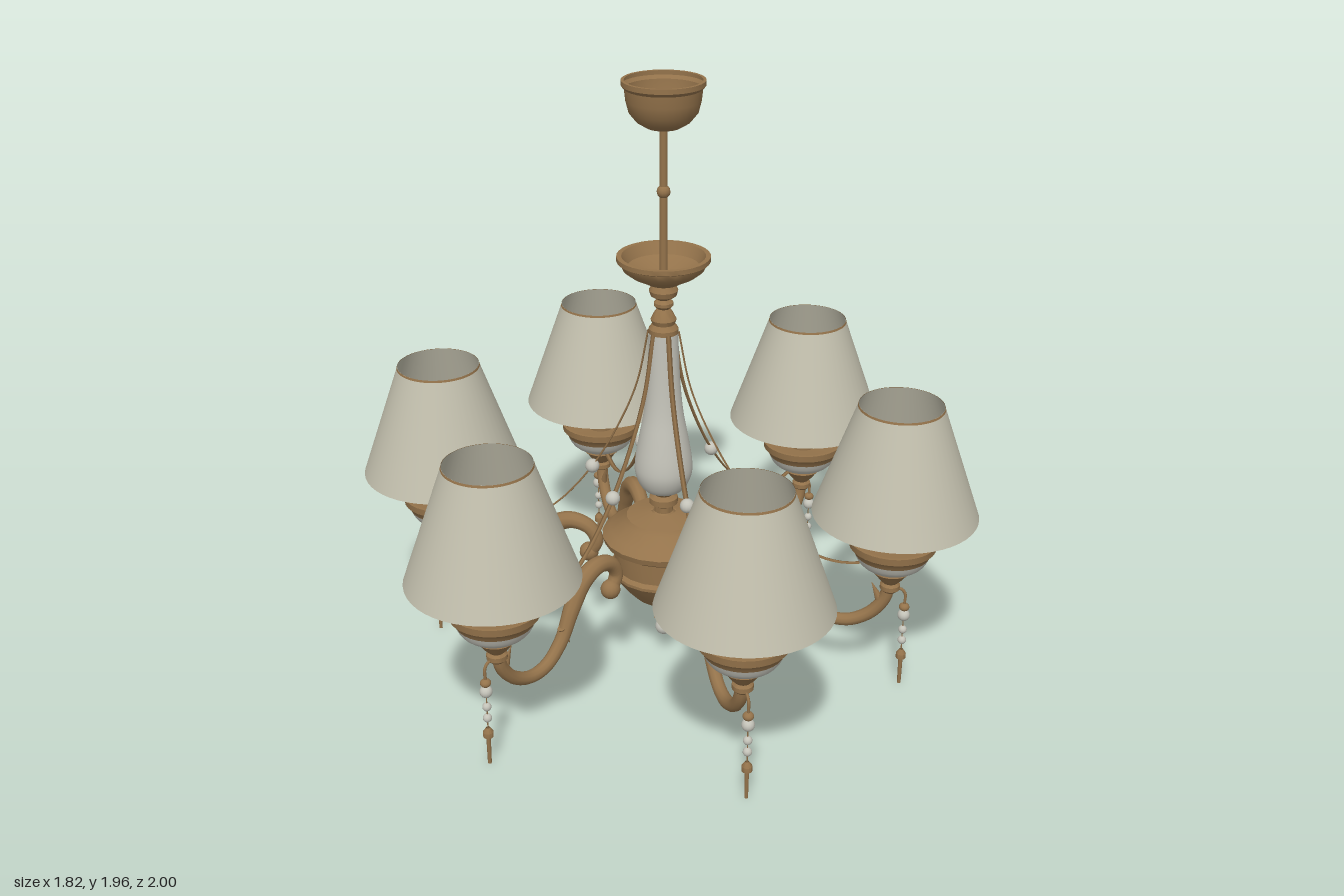
import * as THREE from 'three';
import { toCreasedNormals } from 'three/addons/utils/BufferGeometryUtils.js';

const material = (name, color) =>
  new THREE.MeshStandardMaterial({ name, color, side: THREE.DoubleSide });

export function createModel() {
  const brass = material('antique brass', 0x94734b);
  const fabric = material('shade fabric', 0xc1beac);
  const pearl = material('pale ceramic', 0xc3c2b8);

  const add = (parent, name, geometry, mat, x = 0, y = 0, z = 0) => {
    const mesh = new THREE.Mesh(geometry, mat);
    mesh.name = name;
    mesh.position.set(x, y, z);
    parent.add(mesh);
    return mesh;
  };
  // Profiles are [radius, height] pairs, listed from bottom to top
  const lathe = (profile, sides = 32) => toCreasedNormals(
    new THREE.LatheGeometry(profile.map(([r, y]) => new THREE.Vector2(r, y)), sides), 0.6);
  const smoothLathe = (profile, sides = 32, steps = 30) => {
    const curve = new THREE.SplineCurve(profile.map(([r, y]) => new THREE.Vector2(r, y)));
    return new THREE.LatheGeometry(curve.getPoints(steps), sides);
  };
  const path = (points) =>
    new THREE.CatmullRomCurve3(points.map(([x, y]) => new THREE.Vector3(x, y, 0)));
  // Tube whose radius follows a function of its length
  const taperedTube = (curve, steps, sides, radiusAt) => {
    const geometry = new THREE.TubeGeometry(curve, steps, 1, sides);
    const pos = geometry.attributes.position;
    const v = new THREE.Vector3();
    for (let i = 0; i < pos.count; i++) {
      const t = Math.floor(i / (sides + 1)) / steps;
      const centre = curve.getPointAt(t);
      v.fromBufferAttribute(pos, i).sub(centre).multiplyScalar(radiusAt(t)).add(centre);
      pos.setXYZ(i, v.x, v.y, v.z);
    }
    return geometry;
  };

  const model = new THREE.Group();
  model.name = 'chandelier';

  // Central stem
  const stem = new THREE.Group();
  stem.name = 'centralStem';
  model.add(stem);
  add(stem, 'ceilingCanopy', lathe([[0.012, 1.815], [0.05, 1.82], [0.08, 1.838], [0.102, 1.865],
    [0.111, 1.9], [0.115, 1.935], [0.124, 1.945], [0.124, 1.96], [0.115, 1.96]]), brass);
  add(stem, 'hangingRod', new THREE.CylinderGeometry(0.012, 0.012, 0.5, 12), brass, 0, 1.58);
  add(stem, 'rodKnot', new THREE.SphereGeometry(0.021, 12, 8), brass, 0, 1.625);
  add(stem, 'upperDish', lathe([[0.012, 1.335], [0.05, 1.338], [0.07, 1.35], [0.1, 1.365],
    [0.125, 1.385], [0.133, 1.405], [0.143, 1.41], [0.143, 1.425], [0.128, 1.425], [0.11, 1.39],
    [0.06, 1.365], [0.012, 1.36]]), brass);
  add(stem, 'upperTurning', lathe([[0.046, 1.175], [0.046, 1.19], [0.035, 1.205], [0.04, 1.22],
    [0.03, 1.24], [0.02, 1.255], [0.03, 1.265], [0.03, 1.275], [0.02, 1.285], [0.04, 1.298],
    [0.045, 1.315], [0.035, 1.335]], 24), brass);
  add(stem, 'vase', smoothLathe([[0.04, 0.625], [0.07, 0.645], [0.09, 0.69], [0.091, 0.74],
    [0.078, 0.82], [0.062, 0.91], [0.052, 1.02], [0.045, 1.18]]), pearl);
  add(stem, 'lowerTurning', lathe([[0.045, 0.54], [0.03, 0.555], [0.03, 0.575], [0.046, 0.585],
    [0.046, 0.605], [0.03, 0.615], [0.042, 0.63]], 24), brass);

  // Bowl that carries the arms
  add(stem, 'bowl', lathe([[0.018, 0.13], [0.032, 0.15], [0.02, 0.172], [0.03, 0.182],
    [0.032, 0.2], [0.06, 0.22], [0.1, 0.25], [0.135, 0.29], [0.16, 0.325], [0.175, 0.345],
    [0.175, 0.355], [0.162, 0.365], [0.165, 0.435], [0.195, 0.455], [0.2, 0.475], [0.175, 0.495],
    [0.13, 0.525], [0.12, 0.54], [0.04, 0.555]], 20), brass);
  add(stem, 'bottomFinial', new THREE.SphereGeometry(0.028, 16, 12), pearl, 0, 0.113);

  // One arm in the +x direction with lamp, ribbon and pendant
  const armCurve = path([[0.245, 0.372], [0.225, 0.415], [0.25, 0.462], [0.31, 0.482],
    [0.375, 0.455], [0.425, 0.38], [0.475, 0.285], [0.54, 0.228], [0.61, 0.22], [0.68, 0.255],
    [0.725, 0.315], [0.738, 0.375]]);
  const armGeometry = taperedTube(armCurve, 56, 10, (t) => 0.021 + 0.009 * Math.exp(-(((t - 0.28) / 0.17) ** 2)));

  // Flat ribbon: wide across the arm, thin along it
  const ribbonCurve = path([[0.048, 1.18], [0.085, 1.0], [0.145, 0.85], [0.235, 0.69],
    [0.35, 0.55], [0.48, 0.455], [0.58, 0.43], [0.69, 0.445]]);
  const ribbonGeometry = new THREE.TubeGeometry(ribbonCurve, 40, 0.003, 4);
  ribbonGeometry.scale(1, 1, 2.8);

  const leafGeometry = new THREE.ConeGeometry(0.018, 0.08, 8);
  leafGeometry.scale(1, 1, 0.8);

  const shadeGeometry = new THREE.CylinderGeometry(0.13, 0.26, 0.37, 48, 1, true);
  const rimGeometry = new THREE.CylinderGeometry(0.131, 0.133, 0.007, 48, 1, true);
  const panGeometry = lathe([[0.118, 0.485], [0.125, 0.5], [0.138, 0.515], [0.14, 0.538],
    [0.13, 0.538], [0.12, 0.522], [0.043, 0.515]]);
  const saucerGeometry = smoothLathe([[0.058, 0.43], [0.085, 0.443], [0.107, 0.462], [0.12, 0.488]], 32, 8);
  const cupGeometry = lathe([[0.022, 0.345], [0.032, 0.355], [0.032, 0.37], [0.024, 0.378],
    [0.04, 0.395], [0.05, 0.41], [0.064, 0.425], [0.06, 0.435]], 20);
  const sleeveGeometry = new THREE.CylinderGeometry(0.043, 0.043, 0.27, 20);
  const beadGeometry = new THREE.SphereGeometry(1, 14, 10);

  const bead = (parent, name, mat, x, y, r, stretch = 1) =>
    add(parent, name, beadGeometry, mat, x, y).scale.set(r, r * stretch, r);

  const LAMP = 0.74, DROP = 0.79;
  for (let k = 0; k < 6; k++) {
    const arm = new THREE.Group();
    arm.name = 'lampArm' + (k + 1);
    arm.rotation.y = (k + 0.5) * Math.PI / 3 - 0.021;
    model.add(arm);

    // Scrolled arm with small leaves
    add(arm, 'scrollArm', armGeometry, brass);
    bead(arm, 'scrollTip', brass, 0.252, 0.37, 0.032);
    add(arm, 'innerLeaf', leafGeometry, brass, 0.452, 0.295).rotation.z = 2.75;
    add(arm, 'outerLeaf', leafGeometry, brass, 0.698, 0.335).rotation.z = 0.45;

    // Lamp
    add(arm, 'cup', cupGeometry, brass, LAMP);
    add(arm, 'saucer', saucerGeometry, pearl, LAMP);
    add(arm, 'dripPan', panGeometry, brass, LAMP);
    add(arm, 'candleSleeve', sleeveGeometry, brass, LAMP, 0.645);
    bead(arm, 'bulb', pearl, LAMP, 0.81, 0.047, 1.15);
    add(arm, 'lampShade', shadeGeometry, fabric, LAMP, 0.815);
    add(arm, 'shadeRim', rimGeometry, brass, LAMP, 0.997);

    // Draped ribbon with its bead
    add(arm, 'ribbon', ribbonGeometry, brass);
    bead(arm, 'ribbonBead', pearl, 0.235, 0.69, 0.023);

    // Hanging pendant
    add(arm, 'pendantHook', new THREE.TubeGeometry(
      path([[0.755, 0.35], [0.775, 0.356], [DROP, 0.34], [DROP, 0.3]]), 10, 0.005, 6), brass);
    add(arm, 'pendantWire', new THREE.CylinderGeometry(0.002, 0.002, 0.2, 5), brass, DROP, 0.205);
    bead(arm, 'pendantCap', brass, DROP, 0.29, 0.017, 0.8);
    bead(arm, 'pendantBead', pearl, DROP, 0.26, 0.02);
    bead(arm, 'pendantBead', pearl, DROP, 0.205, 0.014);
    bead(arm, 'pendantBead', pearl, DROP, 0.165, 0.014);
    add(arm, 'pendantBell', lathe([[0.016, 0.098], [0.016, 0.115], [0.006, 0.13]], 12), brass, DROP);
    add(arm, 'pendantNeedle', new THREE.CylinderGeometry(0.007, 0.006, 0.1, 8), brass, DROP, 0.05);
  }
  return model;
}
